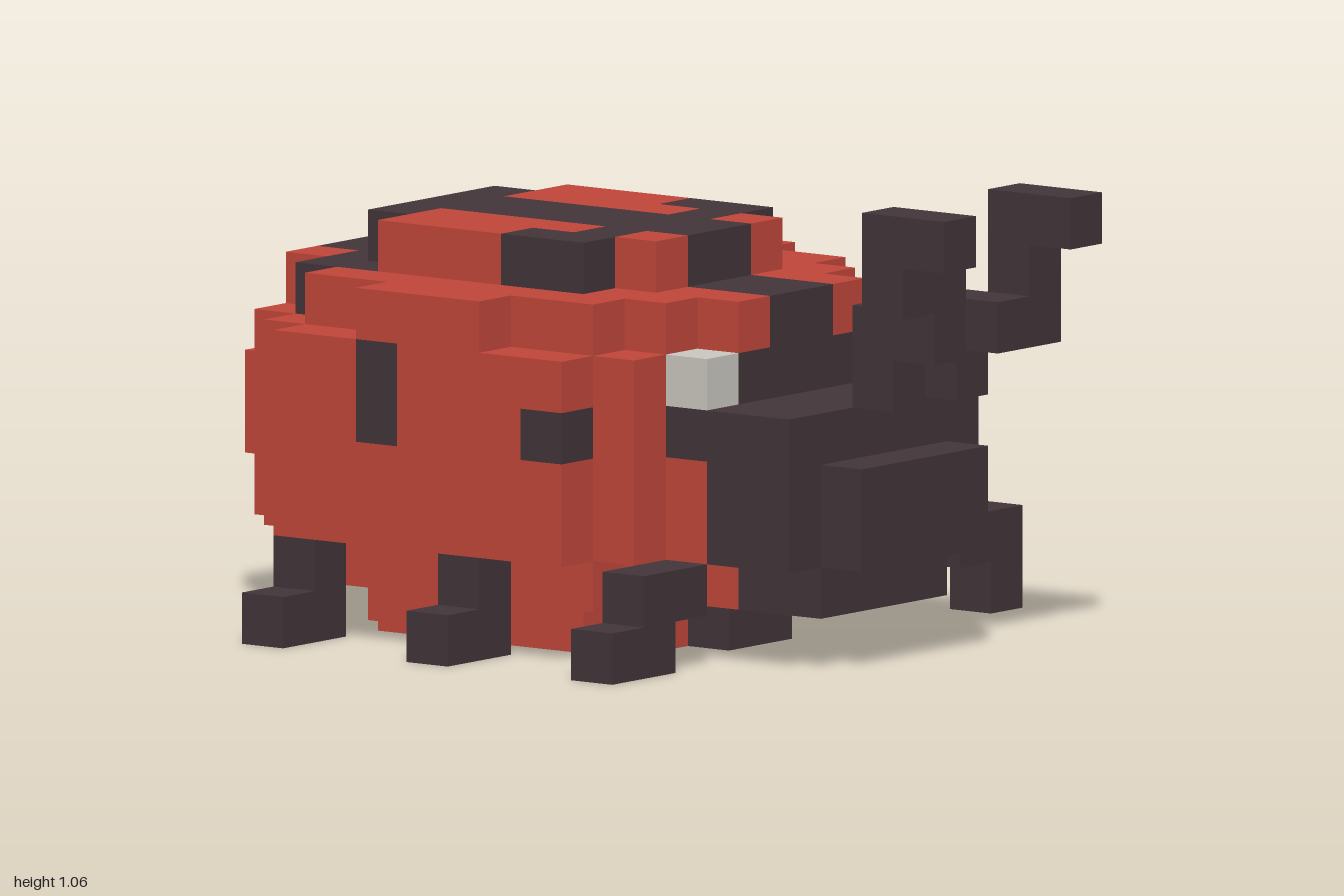
import * as THREE from 'three';

const S = 2 / 17; // block size; grid is 13 wide (x), 9 high (y), 17 deep (z)

export function createModel() {
  const mat = (name, color) => {
    const m = new THREE.MeshStandardMaterial({ color });
    m.name = name;
    return m;
  };
  const red = mat('red', 0xc0463a);
  const dark = mat('dark', 0x42353a);
  const pale = mat('pale', 0xcac7bf);
  const materials = {
    body: red, bodySpots: dark, head: dark, eyes: pale, tail: red,
    leftAntenna: dark, rightAntenna: dark,
    leftFrontLeg: dark, leftMiddleLeg: dark, leftBackLeg: dark,
    rightFrontLeg: dark, rightMiddleLeg: dark, rightBackLeg: dark,
  };

  // Blocks by cell; a later fill replaces an earlier one
  const cells = new Map();
  const key = (x, y, z) => `${x},${y},${z}`;
  function fill(part, x0, x1, y0, y1, z0, z1) {
    for (let x = x0; x <= x1; x++)
      for (let y = y0; y <= y1; y++)
        for (let z = z0; z <= z1; z++) cells.set(key(x, y, z), { part, x, y, z });
  }
  // Same fill on both sides of the shell, which is centred between columns 5 and 6
  function pair(part, x0, x1, ...rest) {
    fill(part, x0, x1, ...rest);
    fill(part, 11 - x1, 11 - x0, ...rest);
  }

  // Shell: stepped layers, each slab given by its first column
  const slabs = [
    // column, y from-to, z from-to
    [4, 0, 0, 3, 9], [3, 0, 0, 4, 8],
    [4, 1, 1, 1, 11], [3, 1, 1, 2, 10], [2, 1, 1, 3, 9],
    [3, 2, 5, 1, 11], [2, 2, 5, 2, 10], [1, 2, 5, 3, 9],
    [4, 6, 6, 1, 11], [3, 6, 6, 2, 10], [2, 6, 6, 3, 9], [1, 6, 6, 5, 7],
    [4, 7, 7, 3, 9], [3, 7, 7, 4, 8],
  ];
  for (const [c, ...rest] of slabs) fill('body', c, 11 - c, ...rest);
  fill('tail', 4, 7, 3, 4, 0, 0);

  // Dark markings: spine, cross bars, side spots
  fill('bodySpots', 5, 6, 7, 7, 3, 9);
  fill('bodySpots', 5, 6, 6, 6, 10, 11);
  fill('bodySpots', 4, 7, 5, 5, 11, 11);
  fill('bodySpots', 5, 6, 5, 6, 1, 1);
  fill('bodySpots', 3, 8, 6, 6, 2, 3);
  fill('bodySpots', 4, 7, 7, 7, 3, 3);
  fill('bodySpots', 3, 8, 7, 7, 8, 8);
  pair('bodySpots', 3, 3, 7, 7, 7, 7);
  pair('bodySpots', 1, 1, 4, 4, 9, 9);
  pair('bodySpots', 1, 1, 4, 5, 5, 5);
  fill('bodySpots', 5, 6, 0, 0, 10, 10);

  // Head and eyes
  fill('head', 3, 8, 4, 4, 11, 11);
  fill('head', 3, 8, 2, 4, 12, 13);
  fill('head', 4, 7, 1, 1, 12, 13);
  fill('head', 4, 7, 2, 3, 14, 14);
  pair('eyes', 3, 3, 5, 5, 11, 11);

  // Antennae, bent forwards in steps
  for (const [part, root, tip, bend] of [['leftAntenna', 7, 8, 6], ['rightAntenna', 5, 4, 7]]) {
    fill(part, root, root, 5, 6, 14, 14);
    fill(part, root, root, 6, bend, 15, 15);
    fill(part, tip, tip, bend, 8, 15, 15);
    fill(part, tip, tip, 8, 8, 15, 16);
  }

  // Left legs
  fill('leftFrontLeg', 10, 10, 1, 2, 10, 10);
  fill('leftFrontLeg', 11, 11, 1, 1, 10, 11);
  fill('leftFrontLeg', 12, 12, 0, 1, 11, 11);
  fill('leftMiddleLeg', 10, 11, 1, 1, 7, 7);
  fill('leftMiddleLeg', 12, 12, 0, 1, 7, 7);
  fill('leftBackLeg', 10, 11, 1, 1, 4, 4);
  fill('leftBackLeg', 11, 11, 1, 1, 3, 3);
  fill('leftBackLeg', 12, 12, 0, 1, 3, 3);
  // Right legs, lower and closer to the body
  fill('rightFrontLeg', 1, 2, 1, 1, 11, 11);
  fill('rightFrontLeg', 0, 1, 0, 0, 11, 11);
  for (const [part, z] of [['rightMiddleLeg', 7], ['rightBackLeg', 3]]) {
    fill(part, 1, 1, 1, 1, z, z);
    fill(part, 0, 1, 0, 0, z, z);
  }

  // Keep only the exposed block faces, gathered per part
  const faces = {};
  for (const { part, x, y, z } of cells.values()) {
    const out = (faces[part] ??= []);
    const centre = [x - 6, y + 0.5, z - 8];
    for (let a = 0; a < 3; a++) {
      for (const s of [-1, 1]) {
        const n = [x, y, z];
        n[a] += s;
        if (cells.has(key(...n))) continue;
        const u = (a + 1) % 3, v = (a + 2) % 3;
        const corner = (p, q) => {
          const c = [...centre];
          c[a] += s / 2;
          c[u] += (p * s) / 2;
          c[v] += q / 2;
          return c.map((t) => t * S);
        };
        const [A, B, C, D] = [corner(-1, -1), corner(1, -1), corner(1, 1), corner(-1, 1)];
        out.push(...A, ...B, ...C, ...A, ...C, ...D);
      }
    }
  }

  const model = new THREE.Group();
  model.name = 'beetle';
  for (const part in faces) {
    const geometry = new THREE.BufferGeometry();
    geometry.setAttribute('position', new THREE.Float32BufferAttribute(faces[part], 3));
    geometry.computeVertexNormals();
    const mesh = new THREE.Mesh(geometry, materials[part]);
    mesh.name = part;
    model.add(mesh);
  }
  return model;
}
